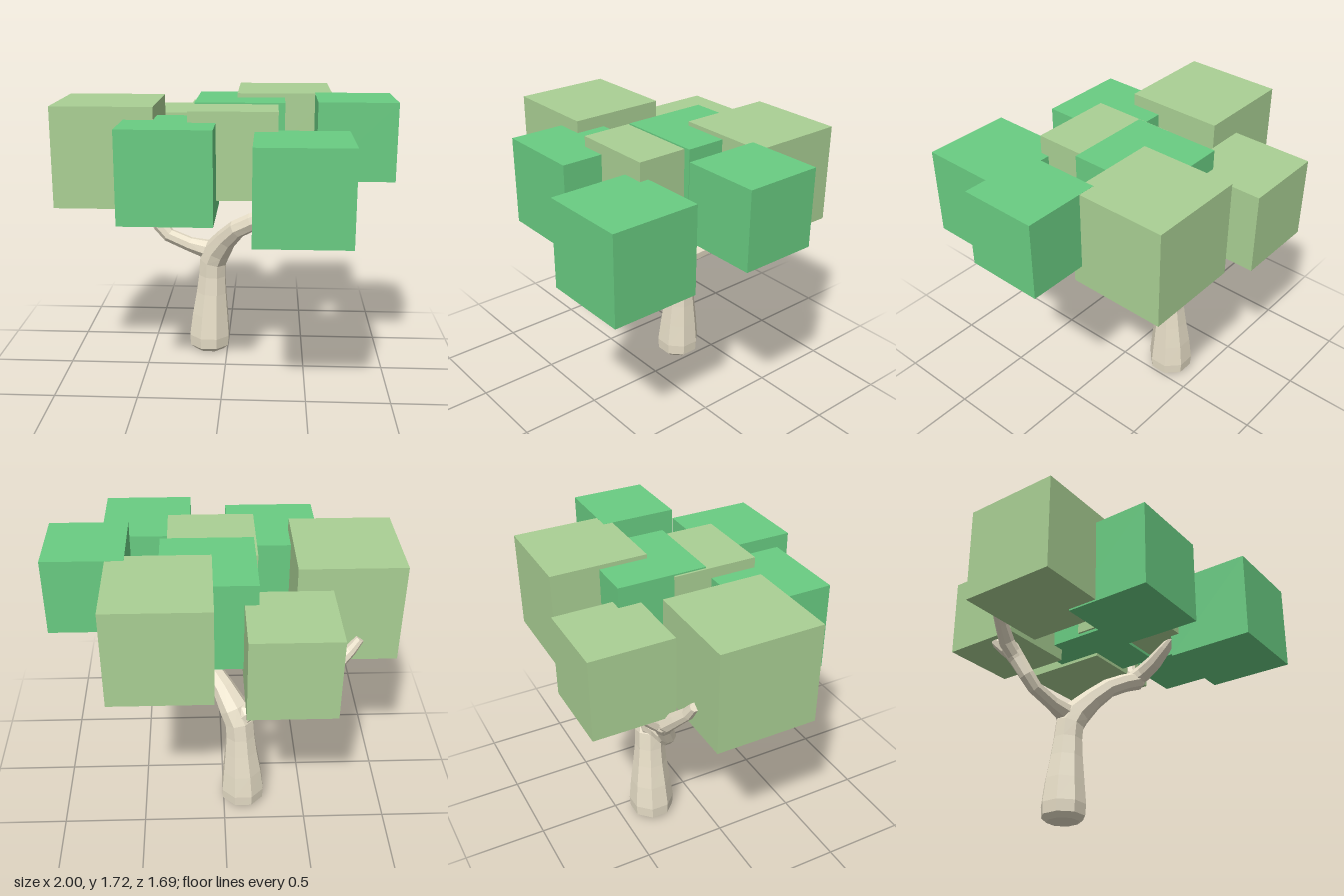
import * as THREE from 'three';

const bark = new THREE.MeshStandardMaterial({ color: 0xe8dfc8, flatShading: true });
const lightLeaf = new THREE.MeshStandardMaterial({ color: 0xaad094 });
const darkLeaf = new THREE.MeshStandardMaterial({ color: 0x69cc82 });

// Faceted limb: a ring of vertices round each [x, y, z, radius] point, closed at both ends
function limb(name, points, sides = 8) {
  const centres = points.map(p => new THREE.Vector3(p[0], p[1], p[2]));
  const verts = [], index = [];
  const last = points.length - 1;
  const normal = new THREE.Vector3(0, 0, 1);
  centres.forEach((c, i) => {
    const tangent = new THREE.Vector3();
    if (i > 0) tangent.add(c.clone().sub(centres[i - 1]).normalize());
    if (i < last) tangent.add(centres[i + 1].clone().sub(c).normalize());
    tangent.normalize();
    normal.addScaledVector(tangent, -normal.dot(tangent)).normalize();
    const side = tangent.clone().cross(normal);
    for (let s = 0; s < sides; s++) {
      const a = (s + 0.5) / sides * Math.PI * 2;
      const v = c.clone()
        .addScaledVector(normal, Math.cos(a) * points[i][3])
        .addScaledVector(side, Math.sin(a) * points[i][3]);
      verts.push(v.x, v.y, v.z);
    }
  });
  const bottom = verts.length / 3, top = bottom + 1;
  verts.push(...centres[0].toArray(), ...centres[last].toArray());
  for (let s = 0; s < sides; s++) {
    const n = (s + 1) % sides;
    for (let i = 0; i < last; i++) {
      const a = i * sides, b = a + sides;
      index.push(a + s, a + n, b + n, a + s, b + n, b + s);
    }
    index.push(bottom, n, s, top, last * sides + s, last * sides + n);
  }
  let geo = new THREE.BufferGeometry();
  geo.setAttribute('position', new THREE.Float32BufferAttribute(verts, 3));
  geo.setIndex(index);
  geo = geo.toNonIndexed();
  geo.computeVertexNormals();
  const mesh = new THREE.Mesh(geo, bark);
  mesh.name = name;
  return mesh;
}

// Foliage cube from its centre and edge length
function leafCube(name, x, y, z, size, material) {
  const mesh = new THREE.Mesh(new THREE.BoxGeometry(size, size, size), material);
  mesh.position.set(x, y, z);
  mesh.name = name;
  return mesh;
}

export function createModel() {
  const tree = new THREE.Group();
  tree.name = 'tree';

  // Trunk leaning into the main left branch
  const wood = new THREE.Group();
  wood.name = 'wood';
  wood.add(
    limb('trunk', [
      [-0.12, 0, -0.295, 0.1], [-0.12, 0.03, -0.295, 0.135], [-0.12, 0.1, -0.295, 0.14],
      [-0.115, 0.25, -0.295, 0.124], [-0.107, 0.4, -0.292, 0.104], [-0.102, 0.52, -0.288, 0.092],
      [-0.095, 0.62, -0.282, 0.092], [-0.062, 0.7, -0.255, 0.09], [0.0, 0.8, -0.18, 0.07],
      [0.07, 0.885, -0.105, 0.06], [0.17, 0.945, -0.06, 0.058], [0.27, 0.99, -0.025, 0.06],
      [0.3, 1.02, -0.015, 0.04]]),
    // Twigs of the left branch
    limb('leftBackTwig', [
      [0.23, 0.975, -0.04, 0.05], [0.31, 1.02, -0.04, 0.055], [0.39, 1.08, -0.11, 0.048],
      [0.445, 1.15, -0.185, 0.04], [0.46, 1.24, -0.21, 0.034]]),
    limb('leftFrontTwig', [
      [0.24, 0.98, -0.06, 0.05], [0.27, 1.03, 0.02, 0.056], [0.26, 1.08, 0.12, 0.05],
      [0.24, 1.145, 0.22, 0.038], [0.23, 1.19, 0.28, 0.025]]),
    // Right branch and its twigs
    limb('rightBranch', [
      [-0.09, 0.63, -0.285, 0.07], [-0.14, 0.695, -0.29, 0.066], [-0.25, 0.72, -0.3, 0.048],
      [-0.39, 0.775, -0.32, 0.046], [-0.45, 0.84, -0.335, 0.048], [-0.49, 0.94, -0.38, 0.052],
      [-0.53, 1.01, -0.41, 0.058], [-0.54, 1.04, -0.42, 0.04]]),
    limb('rightBackTwig', [
      [-0.49, 0.95, -0.38, 0.045], [-0.515, 1.02, -0.44, 0.052], [-0.52, 1.09, -0.52, 0.043],
      [-0.51, 1.15, -0.56, 0.034]]),
    limb('rightSideTwig', [
      [-0.5, 0.95, -0.385, 0.045], [-0.57, 1.03, -0.4, 0.05], [-0.65, 1.11, -0.375, 0.042],
      [-0.72, 1.18, -0.35, 0.036], [-0.77, 1.25, -0.34, 0.026]]));
  tree.add(wood);

  // Foliage
  const foliage = new THREE.Group();
  foliage.name = 'foliage';
  foliage.add(
    leafCube('rightLeaves', -0.7, 1.4, -0.03, 0.6, lightLeaf),
    leafCube('middleLeaves', 0.06, 1.435, 0.105, 0.51, lightLeaf),
    leafCube('backLeftLeaves', 0.355, 1.433, -0.487, 0.582, lightLeaf),
    leafCube('backRightLeaves', -0.35, 1.333, -0.6, 0.492, lightLeaf),
    leafCube('frontRightLeaves', -0.304, 1.358, 0.347, 0.537, darkLeaf),
    leafCube('middleBackLeaves', 0.087, 1.43, -0.22, 0.537, darkLeaf),
    leafCube('frontLeftLeaves', 0.45, 1.309, 0.572, 0.537, darkLeaf),
    leafCube('leftLeaves', 0.77, 1.495, -0.022, 0.459, darkLeaf));
  tree.add(foliage);
  return tree;
}
